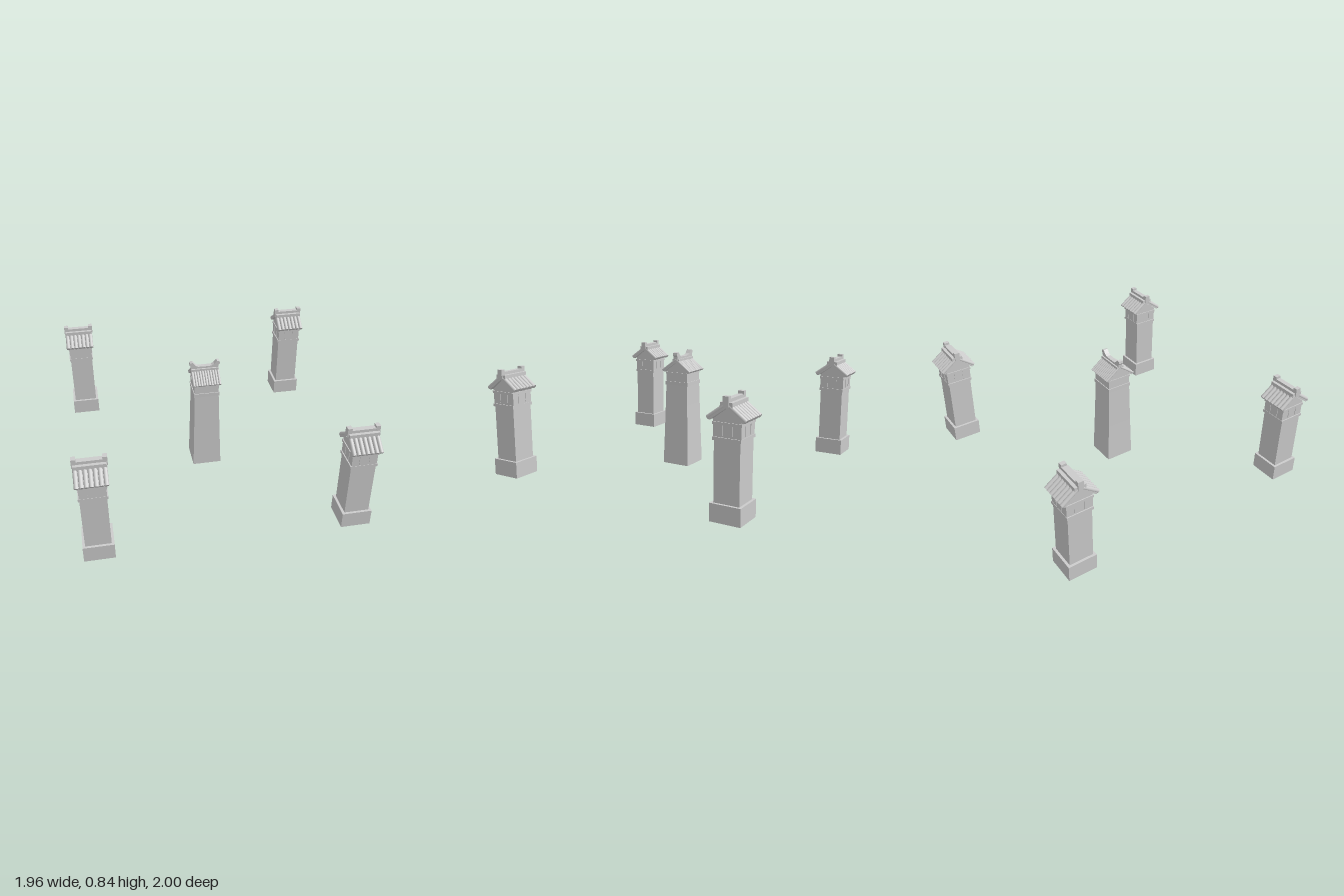
import * as THREE from 'three';

const stone = new THREE.MeshStandardMaterial({ color: 0xcccccc, flatShading: true });
const tileMat = new THREE.MeshStandardMaterial({ color: 0xcccccc });

function add(parent, name, geometry, x = 0, y = 0, z = 0, material = stone) {
  const mesh = new THREE.Mesh(geometry, material);
  mesh.name = name;
  mesh.position.set(x, y, z);
  parent.add(mesh);
  return mesh;
}

// Box standing on height y0
function block(parent, name, w, y0, y1, d, x = 0, z = 0) {
  return add(parent, name, new THREE.BoxGeometry(w, y1 - y0, d), x, (y0 + y1) / 2, z);
}

// Outline in a plane, extruded about its middle
function prism(points, depth) {
  const shape = new THREE.Shape(points.map(([a, b]) => new THREE.Vector2(a, b)));
  return new THREE.ExtrudeGeometry(shape, { depth, bevelEnabled: false }).translate(0, 0, -depth / 2);
}

// Gable wall whose triangle faces left and right
function gable(parent, w, d, y0, eave, apex) {
  const h = d / 2;
  add(parent, 'gableWall', prism([[-h, y0], [h, y0], [h, eave], [0, apex], [-h, eave]], w).rotateY(Math.PI / 2));
}

// Two sloping slabs covered with rows of round tiles
function roof(parent, { width, reach, peak, pitch, thick, tiles }) {
  const length = reach / Math.cos(pitch);
  const r = width / tiles / 2;
  for (const turn of [0, Math.PI]) {
    const side = new THREE.Group();
    side.name = turn ? 'backSlope' : 'frontSlope';
    side.rotation.y = turn;
    const slope = new THREE.Group();
    slope.position.y = peak;
    slope.rotation.x = pitch;
    add(slope, 'roofSlab', new THREE.BoxGeometry(width * 0.98, thick / 2, length - 0.006), 0, -thick / 4, length / 2 - 0.003);
    for (let i = 0; i < tiles; i++) {
      const tube = new THREE.CylinderGeometry(r * 0.96, r * 0.96, length, 12).rotateX(Math.PI / 2);
      add(slope, 'roofTile', tube, (i + 0.5) * 2 * r - width / 2, thick / 2 - r, length / 2, tileMat);
    }
    side.add(slope);
    parent.add(side);
  }
}

function cornerTower() {
  const g = new THREE.Group();
  block(g, 'base', 0.205, 0, 0.115, 0.205);
  block(g, 'shaft', 0.17, 0.115, 0.5, 0.17);
  block(g, 'lowerBand', 0.186, 0.495, 0.515, 0.186);
  gable(g, 0.172, 0.182, 0.51, 0.62, 0.69);
  block(g, 'upperBand', 0.184, 0.588, 0.605, 0.19);
  // Small hanging struts on all four faces
  for (const s of [-1, 1]) {
    for (const t of [-0.033, 0.033]) {
      block(g, 'strut', 0.007, 0.525, 0.59, 0.006, t, s * 0.092);
      block(g, 'strut', 0.006, 0.525, 0.59, 0.007, s * 0.087, t);
    }
  }
  roof(g, { width: 0.212, reach: 0.122, peak: 0.712, pitch: 0.63, thick: 0.034, tiles: 7 });
  // Stepped ridge with raised ends
  block(g, 'ridgeFoot', 0.205, 0.69, 0.725, 0.08);
  block(g, 'ridge', 0.212, 0.7, 0.745, 0.036);
  for (const s of [-1, 1]) block(g, 'ridgeEnd', 0.03, 0.7, 0.762, 0.038, s * 0.095);
  return g;
}

function centreTower() {
  const g = new THREE.Group();
  // Shaft narrows in a gentle curve
  const shaft = new THREE.BoxGeometry(0.21, 0.6, 0.21, 1, 8, 1).translate(0, 0.3, 0);
  const p = shaft.attributes.position;
  for (let i = 0; i < p.count; i++) {
    const t = p.getY(i) / 0.6;
    const k = 1 - 0.16 * t * (1.15 - 0.15 * t);
    p.setX(i, p.getX(i) * k);
    p.setZ(i, p.getZ(i) * k);
  }
  shaft.computeVertexNormals();
  add(g, 'shaft', shaft);
  block(g, 'band', 0.187, 0.595, 0.622, 0.187);
  gable(g, 0.176, 0.176, 0.6, 0.7, 0.765);
  block(g, 'eaveBand', 0.186, 0.675, 0.69, 0.18);
  roof(g, { width: 0.205, reach: 0.112, peak: 0.781, pitch: 0.645, thick: 0.026, tiles: 11 });
  // Ridge with upswept ends
  block(g, 'ridgeFoot', 0.196, 0.76, 0.79, 0.056);
  const half = [[0, 0.803], [0.05, 0.805], [0.068, 0.816], [0.088, 0.84], [0.106, 0.836], [0.11, 0.818], [0.1, 0.805], [0.1, 0.775]];
  const mirror = half.slice(1).reverse().map(([x, y]) => [-x, y]);
  add(g, 'ridge', prism([...mirror, ...half].reverse(), 0.034));
  return g;
}

export function createModel() {
  const model = new THREE.Group();
  model.name = 'fivePillars';
  for (const x of [-1, 1]) {
    for (const z of [-1, 1]) {
      const tower = cornerTower();
      tower.name = (z > 0 ? 'front' : 'back') + (x > 0 ? 'Left' : 'Right') + 'Tower';
      tower.position.set(x * 0.87, 0, z * 0.87);
      model.add(tower);
    }
  }
  const centre = centreTower();
  centre.name = 'centreTower';
  model.add(centre);
  return model;
}
